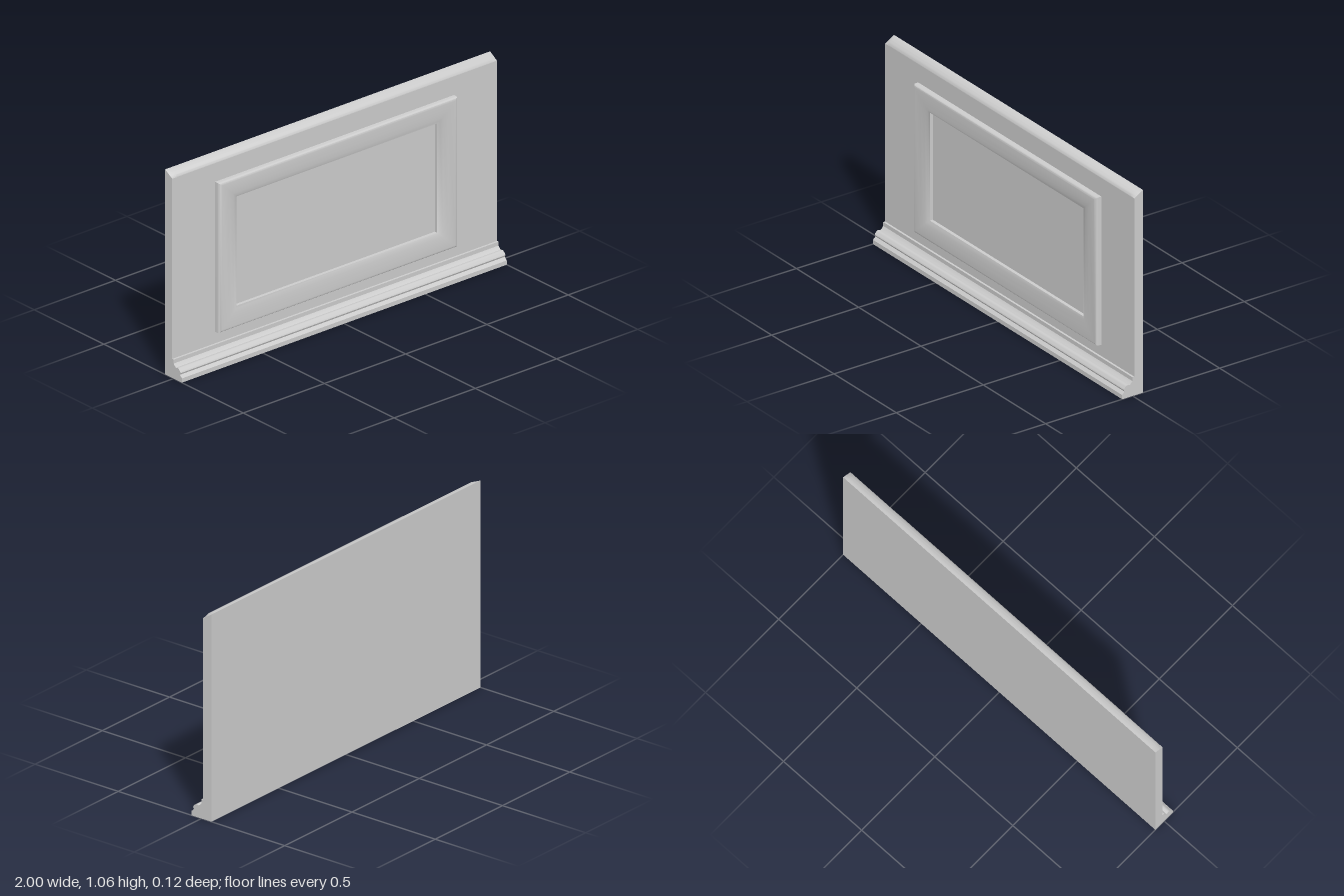
import * as THREE from 'three';
import { toCreasedNormals } from 'three/addons/utils/BufferGeometryUtils.js';

const BACK = -0.06, FACE = -0.01; // depth of the board
const SHOULDER = 1.027, TOP = 1.058;

// Skin a surface over rows of equally many [x, y, z] points
function loft(rows, crease = 0.6) {
  const n = rows[0].length, index = [];
  for (let i = 0; i < rows.length - 1; i++) {
    for (let j = 0; j < n - 1; j++) {
      const a = i * n + j, b = a + 1, d = a + n, c = d + 1;
      index.push(a, b, c, a, c, d);
    }
  }
  const geometry = new THREE.BufferGeometry();
  geometry.setAttribute('position', new THREE.Float32BufferAttribute(rows.flat(2), 3));
  geometry.setIndex(index);
  return toCreasedNormals(geometry, crease);
}

// Rounded top edge, easing to a straight bevel at each end
function capGeometry() {
  const steps = 10;
  const section = (x, bulge, size = 1) => {
    const row = [[x, SHOULDER, BACK]];
    for (let k = 0; k <= steps; k++) {
      const t = k / steps, a = t * Math.PI / 2;
      const u = THREE.MathUtils.lerp(t, Math.sin(a), bulge);
      const v = THREE.MathUtils.lerp(1 - t, Math.cos(a), bulge);
      row.push([x, SHOULDER + (TOP - SHOULDER) * v * size, BACK + (FACE - BACK) * u * size]);
    }
    return row;
  };
  return loft([
    section(-1, 0, 0), section(-1, 0), section(-0.97, 0.9),
    section(0.97, 0.9), section(1, 0), section(1, 0, 0),
  ]);
}

// Mitred moulding: each profile point [inset 0..1, z] becomes a rectangle
function frameGeometry() {
  const outer = { x: 0.735, y: 0.387 }, inner = { x: 0.617, y: 0.282 }, midY = 0.544;
  const profile = [[0, FACE], [0, 0.006]];
  for (let k = 1; k <= 5; k++) {
    const a = k / 5 * Math.PI / 2;
    profile.push([0.14 * (1 - Math.cos(a)), 0.006 + 0.014 * Math.sin(a)]);
  }
  profile.push([0.5, 0.019], [0.75, 0.016], [0.9, 0.012], [1, 0.007], [1, FACE]);
  const corners = [[1, -1], [1, 1], [-1, 1], [-1, -1], [1, -1]];
  return loft(profile.map(([d, z]) => corners.map(([sx, sy]) => [
    sx * THREE.MathUtils.lerp(outer.x, inner.x, d),
    midY + sy * THREE.MathUtils.lerp(outer.y, inner.y, d),
    z,
  ])));
}

// Skirting profile as (z, y), run along the full width
function skirtingGeometry() {
  const shape = new THREE.Shape([
    [FACE, 0], [0.06, 0], [0.06, 0.022], [0.046, 0.036], [0.05, 0.045],
    [0.047, 0.053], [0.041, 0.059], [0.034, 0.064], [0.027, 0.065], [0.017, 0.062],
    [0.008, 0.069], [0.001, 0.078], [0.001, 0.098], [FACE, 0.098],
  ].map(([z, y]) => new THREE.Vector2(z, y)));
  const geometry = new THREE.ExtrudeGeometry(shape, { depth: 2, bevelEnabled: false });
  geometry.translate(0, 0, -1).rotateY(-Math.PI / 2);
  return toCreasedNormals(geometry, 0.6);
}

export function createModel() {
  const group = new THREE.Group();
  group.name = 'wallPanel';
  const material = new THREE.MeshStandardMaterial({ color: 0xcccccc });
  const add = (name, geometry) => {
    const mesh = new THREE.Mesh(geometry, material);
    mesh.name = name;
    group.add(mesh);
  };

  // Flat backing board
  const board = new THREE.BoxGeometry(2, SHOULDER, FACE - BACK);
  board.translate(0, SHOULDER / 2, (FACE + BACK) / 2);
  add('board', board);

  add('roundedTop', capGeometry());
  add('frameMoulding', frameGeometry());
  add('skirting', skirtingGeometry());
  return group;
}
